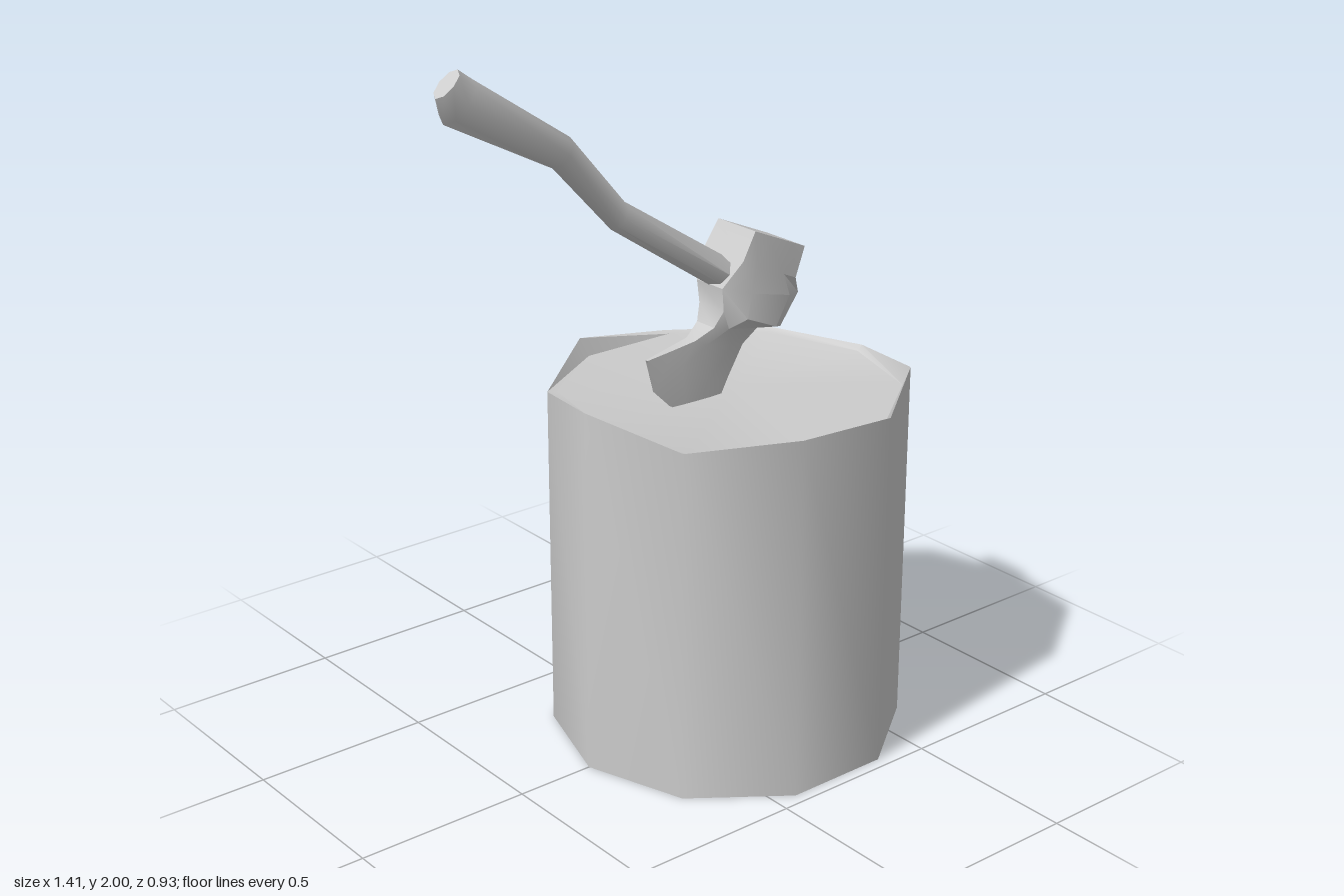
import * as THREE from 'three';
import { toCreasedNormals } from 'three/addons/utils/BufferGeometryUtils.js';

const V = (x, y, z) => new THREE.Vector3(x, y, z);

// Skins a list of equal-length rings and caps both ends with fans.
function loft(name, rings, crease) {
  const tris = [];
  const n = rings[0].length;
  for (let r = 0; r < rings.length - 1; r++) {
    const a = rings[r], b = rings[r + 1];
    for (let i = 0; i < n; i++) {
      const j = (i + 1) % n;
      tris.push([a[i], a[j], b[j]], [a[i], b[j], b[i]]);
    }
  }
  const cap = (ring, flip) => {
    const c = V(0, 0, 0);
    ring.forEach((p) => c.addScaledVector(p, 1 / n));
    ring.forEach((p, i) => {
      const q = ring[(i + 1) % n];
      tris.push(flip ? [c, q, p] : [c, p, q]);
    });
  };
  cap(rings[0], true);
  cap(rings[rings.length - 1], false);

  // Turn the faces outward when the signed volume is negative.
  const o = rings[0][0], t = V(0, 0, 0);
  let volume = 0;
  for (const [a, b, c] of tris) {
    volume += a.clone().sub(o).dot(t.crossVectors(b.clone().sub(o), c.clone().sub(o)));
  }
  if (volume < 0) tris.forEach((f) => f.reverse());

  const geometry = new THREE.BufferGeometry().setFromPoints(tris.flat());
  const mesh = new THREE.Mesh(
    toCreasedNormals(geometry, crease),
    new THREE.MeshStandardMaterial({ color: 0xcccccc })
  );
  mesh.name = name;
  return mesh;
}

// Ten-sided stump with an uneven bark rim around a slightly sunken cut face.
function createStump() {
  const rim = [1.0, 1.04, 1.01, 1.025, 0.995, 1.04, 0.988, 1.035, 0.99, 0.995];
  const ring = (cx, radius, height) => rim.map((h, i) => {
    const a = (i / rim.length) * Math.PI * 2;
    return V(cx + radius * Math.cos(a), height(h), radius * Math.sin(a));
  });
  return loft('stump', [
    ring(0.215, 0.49, () => 0),
    ring(0.215, 0.49, (h) => h),
    ring(0.222, 0.467, () => 0.985),
  ], 0.7);
}

// Bent handle: each section is an oval between a lower and an upper point.
function createHandle() {
  // lower x, y, upper x, y, centre z, half width
  const sections = [
    [-0.71, 1.94, -0.645, 2.0, 0.022, 0.03],
    [-0.68, 1.87, -0.595, 1.967, 0.006, 0.05],
    [-0.36, 1.705, -0.305, 1.775, -0.002, 0.038],
    [-0.155, 1.5, -0.11, 1.565, -0.037, 0.038],
    [0.14, 1.3, 0.19, 1.37, -0.005, 0.06],
    [0.27, 1.21, 0.32, 1.28, 0, 0.05],
  ];
  const sides = 8;
  return loft('handle', sections.map(([x0, y0, x1, y1, z, w]) =>
    Array.from({ length: sides }, (_, i) => {
      const a = (i / sides) * Math.PI * 2;
      const t = 0.5 + 0.5 * Math.cos(a);
      return V(x0 + (x1 - x0) * t, y0 + (y1 - y0) * t, z + w * Math.sin(a));
    })), 0.9);
}

// Axe head: sections run from the flat poll through the eye to the thin blade.
function createHead() {
  // left x, y, right x, y, half thickness at ends, at middle, bow toward the edge
  const sections = [
    [0.235, 1.445, 0.41, 1.37, 0.075, 0.075, 0],
    [0.19, 1.372, 0.375, 1.29, 0.08, 0.085, 0],
    [0.143, 1.3, 0.41, 1.235, 0.052, 0.093, 0],
    [0.15, 1.235, 0.35, 1.15, 0.05, 0.09, 0],
    [0.13, 1.19, 0.285, 1.16, 0.035, 0.05, 0],
    [0.08, 1.16, 0.245, 1.115, 0.018, 0.022, 0.01],
    [0.01, 1.148, 0.2, 1.03, 0.012, 0.015, 0.03],
    [-0.07, 1.135, 0.15, 0.92, 0.004, 0.004, 0.05],
  ];
  const stops = [0, 0.25, 0.75, 1];
  return loft('axeHead', sections.map(([x0, y0, x1, y1, end, mid, bow]) => {
    const side = (s) => stops.map((t, i) => {
      const inner = i === 1 || i === 2;
      const b = inner ? bow : 0;
      return V(x0 + (x1 - x0) * t - 0.6 * b, y0 + (y1 - y0) * t - 0.8 * b, s * (inner ? mid : end));
    });
    return [...side(1), ...side(-1).reverse()];
  }), 0.6);
}

export function createModel() {
  const model = new THREE.Group();
  model.name = 'axeInStump';
  const axe = new THREE.Group();
  axe.name = 'axe';
  axe.add(createHandle(), createHead());
  model.add(createStump(), axe);
  return model;
}
